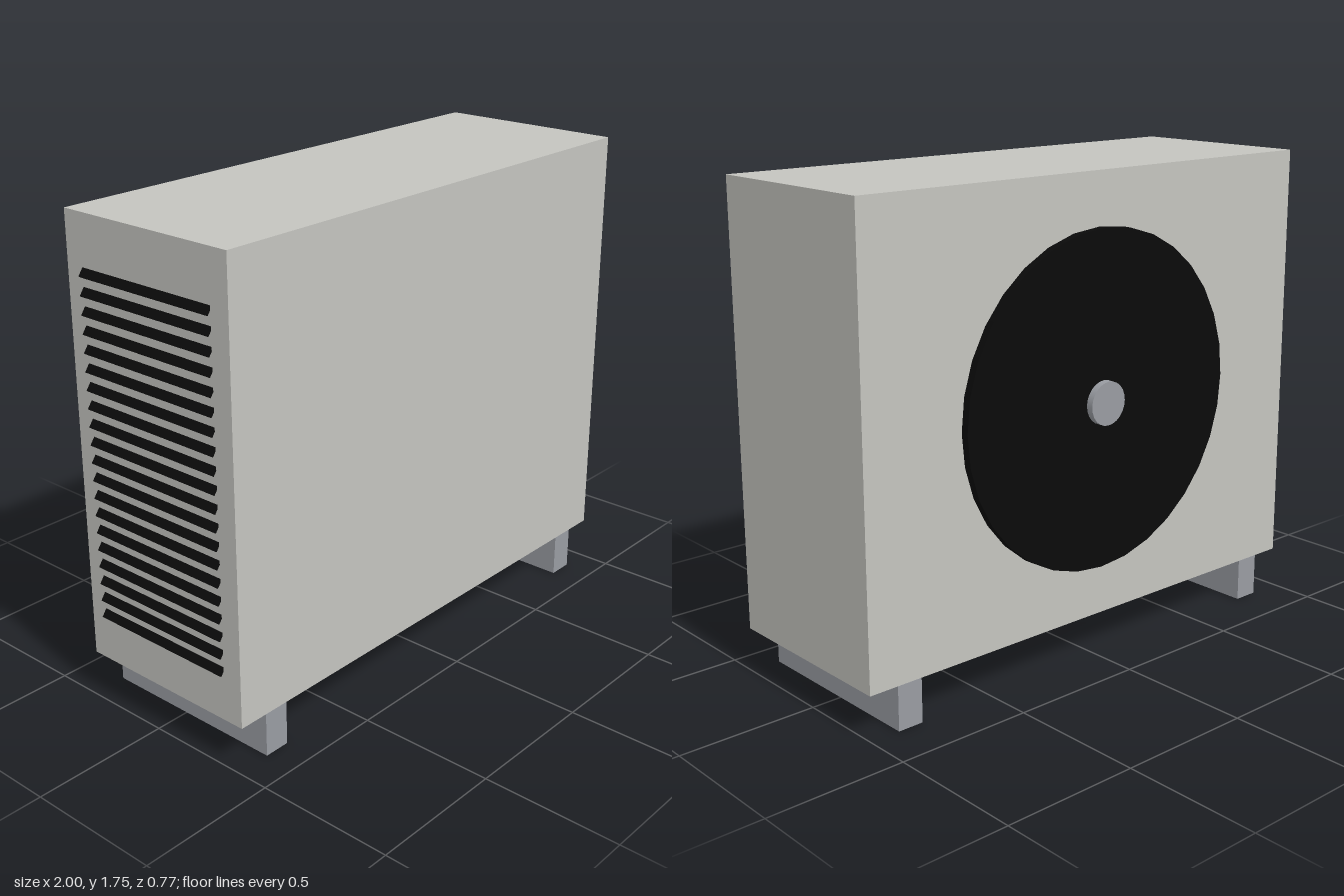
import * as THREE from 'three';

export function createModel() {
  const model = new THREE.Group();
  const mat = (name, color) => {
    const m = new THREE.MeshStandardMaterial({ color });
    m.name = name;
    return m;
  };
  const casing = mat('casing grey', 0xc4c4bf);
  const steel = mat('steel grey', 0x999ca2);
  const black = mat('grille black', 0x0a0a0a);

  const add = (name, geometry, material, x, y, z, parent = model) => {
    const mesh = new THREE.Mesh(geometry, material);
    mesh.name = name;
    mesh.position.set(x, y, z);
    parent.add(mesh);
    return mesh;
  };

  const cx = 0.008, cz = 0.027, depth = 0.715;

  // Cabinet
  add('cabinet', new THREE.BoxGeometry(1.98, 1.585, depth), casing, cx, 0.9525, cz);

  // Two full-depth foot rails
  for (const side of [-1, 1]) {
    add(side < 0 ? 'rightFoot' : 'leftFoot',
      new THREE.BoxGeometry(0.096, 0.16, depth), steel, cx + side * 0.832, 0.08, cz);
  }

  // Round fan grille and its hub on the back
  const disc = (name, radius, height, segments, material, z) => {
    const geometry = new THREE.CylinderGeometry(radius, radius, height, segments);
    geometry.rotateX(Math.PI / 2);
    add(name, geometry, material, cx, 0.953, z);
  };
  disc('fanGrille', 0.603, 0.03, 32, black, -0.345);
  disc('fanHub', 0.078, 0.027, 24, steel, -0.3725);

  // Tilted louvre slats, half sunk into the side panel
  const louvres = new THREE.Group();
  louvres.name = 'sideLouvres';
  model.add(louvres);
  const slatGeometry = new THREE.BoxGeometry(0.058, 0.008, 0.57);
  for (let i = 0; i < 20; i++) {
    const slat = add('slat', slatGeometry, black, -0.98, 0.354 + i * 0.0636, 0.025, louvres);
    slat.rotation.z = THREE.MathUtils.degToRad(55);
  }

  return model;
}
